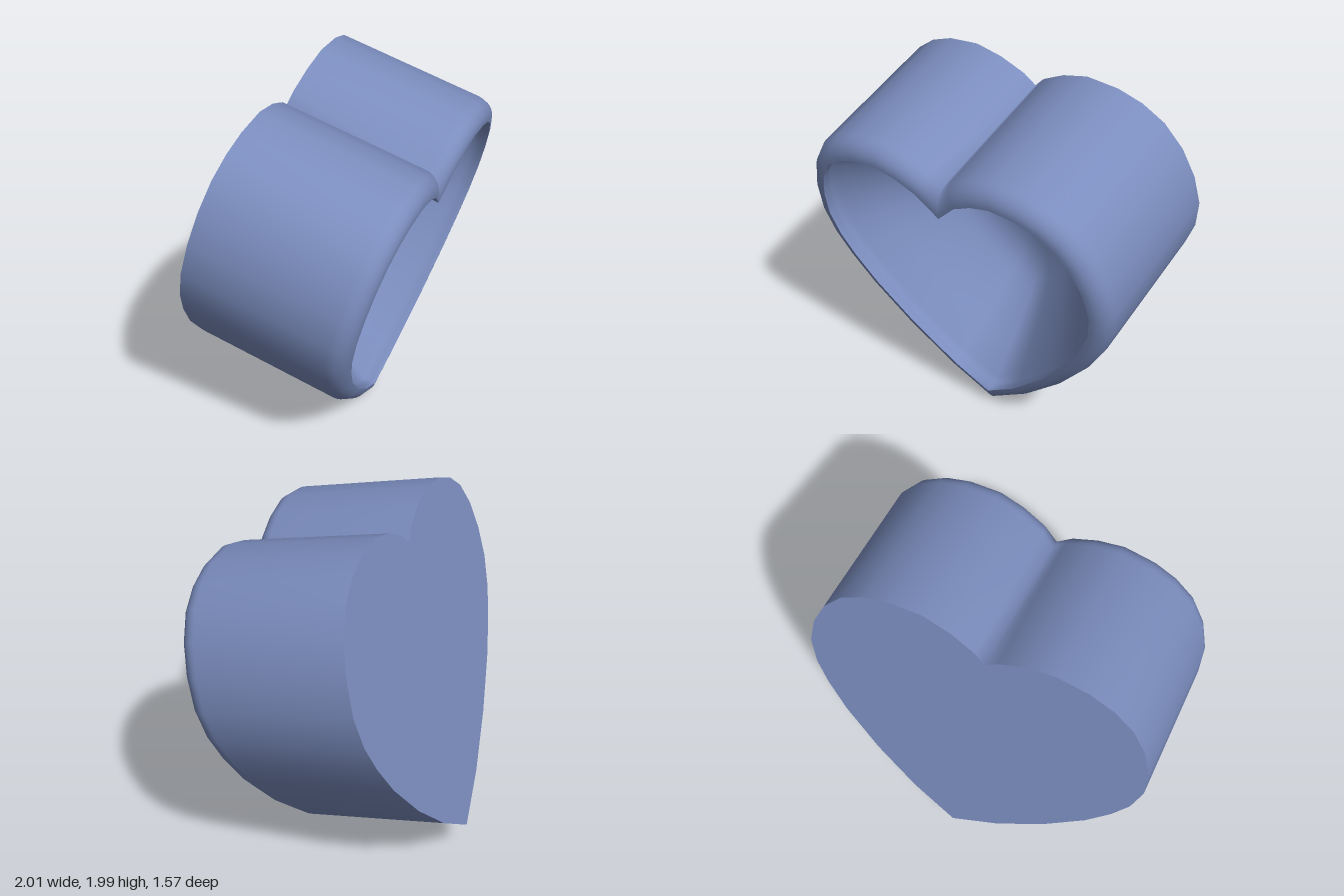
import * as THREE from 'three';
import { toCreasedNormals } from 'three/addons/utils/BufferGeometryUtils.js';

// Right half of the heart outline, from the tip up to the notch
const half = [
  [0, 0], [0.26, 0.19], [0.505, 0.433], [0.706, 0.688], [0.817, 0.877],
  [0.885, 1.035], [0.918, 1.21], [0.9, 1.39], [0.845, 1.555], [0.755, 1.69], [0.64, 1.775],
  [0.51, 1.824], [0.335, 1.842], [0.19, 1.803], [0.06, 1.735], [0, 1.675],
].map(([x, y]) => new THREE.Vector2(x, y));
const mirrored = half.slice(1, -1).reverse().map((p) => new THREE.Vector2(-p.x, p.y));
const outline = [...half, ...mirrored];
const centre = new THREE.Vector2(0, 0.92);

// Heart inset by a wall distance with mitred corners, at a given depth
function insetRing(inset, depth) {
  const n = outline.length;
  return outline.map((p, i) => {
    const a = p.clone().sub(outline[(i + n - 1) % n]).normalize();
    const b = outline[(i + 1) % n].clone().sub(p).normalize();
    const na = new THREE.Vector2(-a.y, a.x), nb = new THREE.Vector2(-b.y, b.x);
    const m = na.clone().add(nb).multiplyScalar(inset / (1 + na.dot(nb)));
    return new THREE.Vector3(p.x + m.x, p.y + m.y, depth);
  });
}

// Ring shrunk towards the heart's centre
function scaledRing(ring, s, depth) {
  return ring.map((p) => new THREE.Vector3(
    centre.x + (p.x - centre.x) * s, centre.y + (p.y - centre.y) * s, depth));
}

// Skin a list of rings, leaving out collapsed triangles
function loft(rings, crease) {
  const pos = [];
  const tri = (a, b, c) => {
    if (a.distanceTo(b) < 1e-5 || b.distanceTo(c) < 1e-5 || c.distanceTo(a) < 1e-5) return;
    for (const p of [a, b, c]) pos.push(p.x, p.y, p.z);
  };
  for (let i = 0; i < rings.length - 1; i++) {
    const lo = rings[i], hi = rings[i + 1], n = lo.length;
    for (let j = 0; j < n; j++) {
      const k = (j + 1) % n;
      tri(lo[j], lo[k], hi[k]);
      tri(lo[j], hi[k], hi[j]);
    }
  }
  const g = new THREE.BufferGeometry();
  g.setAttribute('position', new THREE.Float32BufferAttribute(pos, 3));
  return toCreasedNormals(g, crease);
}

export function createModel() {
  const group = new THREE.Group();
  group.name = 'heartBowl';
  const material = new THREE.MeshStandardMaterial({ color: 0x7b8dbe, side: THREE.DoubleSide });

  // Tilt so that the opening faces forward, to the left and slightly down
  const d = new THREE.Vector3(0.385, -0.24, 0.89).normalize();
  const u = new THREE.Vector3(0.065, 0.97, 0.225).cross(d).normalize();
  const v = d.clone().cross(u);
  const tilted = new THREE.Group();
  tilted.name = 'tiltedBowl';
  tilted.quaternion.setFromRotationMatrix(new THREE.Matrix4().makeBasis(u, v, d));
  group.add(tilted);

  const addPart = (name, rings, crease) => {
    const mesh = new THREE.Mesh(loft(rings, crease), material);
    mesh.name = name;
    tilted.add(mesh);
  };

  // Flat back
  const base = insetRing(0, 0);
  addPart('back', [scaledRing(base, 0, 0), base], 0.5);

  // Straight outer wall, rolling over into the rim
  const wall = [base];
  for (let i = 0; i <= 8; i++) {
    const t = (Math.PI / 2) * (i / 8);
    wall.push(insetRing(0.1 * (1 - Math.cos(t)), 0.8 + 0.1 * Math.sin(t)));
  }
  addPart('outerWallAndRim', wall, 1.7);

  // Hollow with a slight undercut below the rim, narrowing to a rounded bottom
  const mouth = insetRing(0.09, 0.83);
  const profile = new THREE.SplineCurve([
    [1, 0.83], [0.89, 0.7], [0.77, 0.55], [0.64, 0.41], [0.5, 0.3], [0.3, 0.24], [0, 0.22],
  ].map(([s, depth]) => new THREE.Vector2(s, depth)));
  const bowl = [insetRing(0.1, 0.9), insetRing(0.1, 0.87)];
  const steps = 18;
  for (let i = 0; i <= steps; i++) {
    const p = profile.getPoint(i / steps);
    bowl.push(scaledRing(mouth, i === steps ? 0 : p.x, p.y));
  }
  addPart('innerBowl', bowl, Math.PI);

  // Stand on the ground, centred
  const box = new THREE.Box3().setFromObject(group, true);
  const c = box.getCenter(new THREE.Vector3());
  tilted.position.set(-c.x, -box.min.y, -c.z);
  return group;
}
